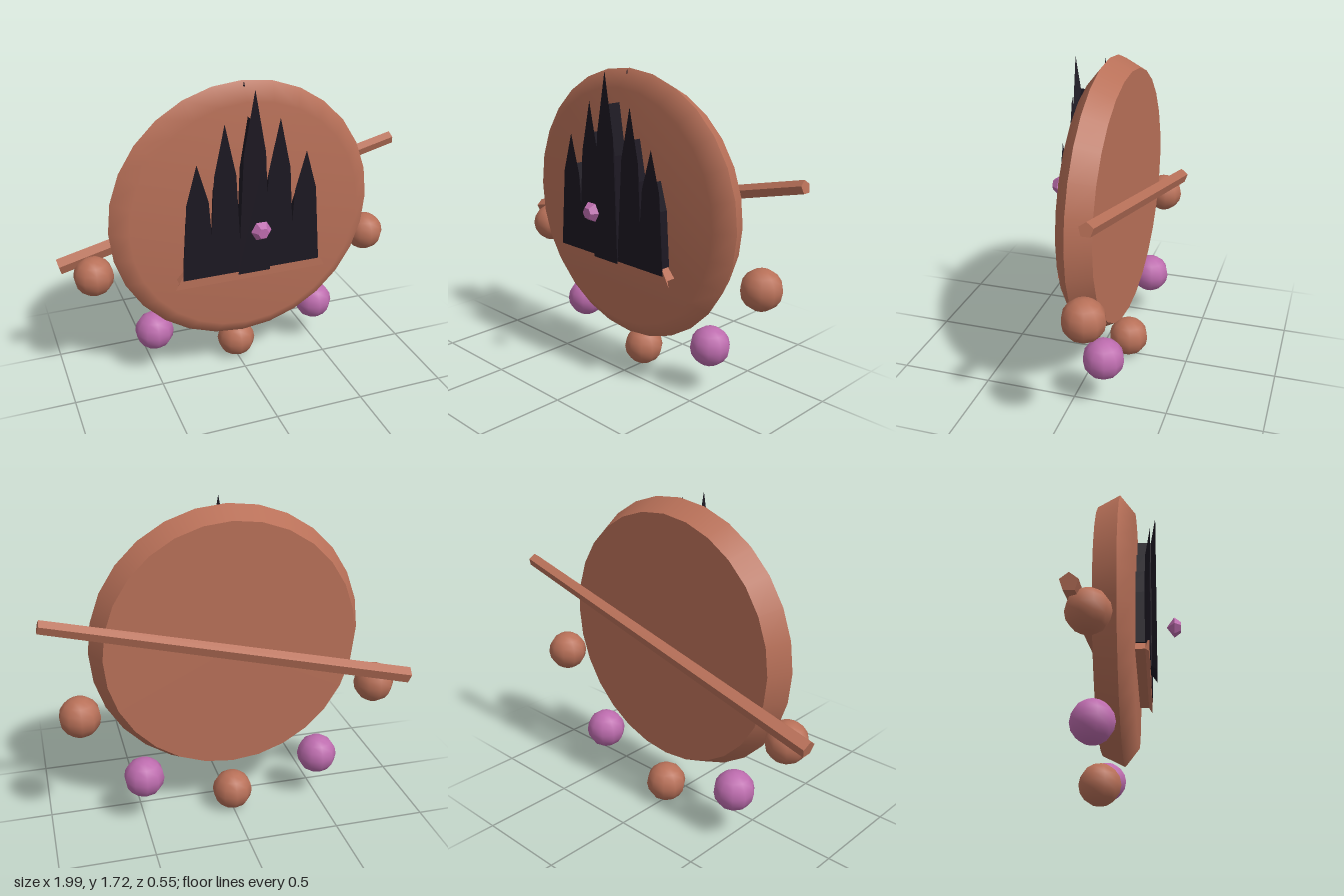
import * as THREE from 'three';

const mat = (color, flat = true) =>
  new THREE.MeshStandardMaterial({ color, flatShading: flat });
const clay = mat(0xb87058);
const claySmooth = mat(0xb87058, false);
const dark = mat(0x1c1822);
const pink = mat(0xbd6cae);
const pinkSmooth = mat(0xbd6cae, false);

// Flat plate whose front and back rims flare out past a slimmer body
function flaredPlate(points, zBack, zFront, rim, adjust) {
  const shape = new THREE.Shape(points.map(([x, y]) => new THREE.Vector2(x, y)));
  const g = new THREE.ExtrudeGeometry(shape, { depth: 3, steps: 3, bevelEnabled: false });
  const levels = [zBack, zBack + rim, zFront - rim, zFront];
  const p = g.attributes.position;
  for (let i = 0; i < p.count; i++) {
    const k = Math.round(p.getZ(i));
    if (k === 1 || k === 2) {
      const [x, y] = adjust(p.getX(i), p.getY(i));
      p.setXY(i, x, y);
    }
    p.setZ(i, levels[k]);
  }
  g.computeVertexNormals();
  return g;
}

export function createModel() {
  const root = new THREE.Group();
  const add = (name, geometry, material, x = 0, y = 0, z = 0, parent = root) => {
    const m = new THREE.Mesh(geometry, material);
    m.name = name;
    m.position.set(x, y, z);
    parent.add(m);
    return m;
  };
  // Lathe around the z axis; profile points are [radius, z]
  const latheZ = (profile, sides) =>
    new THREE.LatheGeometry(profile.map(([r, z]) => new THREE.Vector2(r, z)), sides)
      .rotateX(Math.PI / 2);

  // Medallion disc: smooth front, sharp ridge, tapered side, flat back
  const disc = new THREE.Group();
  disc.name = 'disc';
  root.add(disc);
  const discParts = {
    discFront: [[0.74, -0.04], [0.645, 0.035], [0, 0.035]],
    discSide: [[0.68, -0.16], [0.74, -0.04]],
    discBack: [[0, -0.16], [0.68, -0.16]],
  };
  for (const [name, profile] of Object.entries(discParts)) {
    add(name, latheZ(profile, 28), claySmooth, 0, 0.98, 0, disc);
  }

  // Castle towers: [x, height, back z, front z]
  const castle = new THREE.Group();
  castle.name = 'castle';
  root.add(castle);
  const towers = [
    [0, 1.01, -0.02, 0.14],
    [-0.15, 0.84, -0.05, 0.11], [0.15, 0.84, -0.05, 0.11],
    [-0.3, 0.645, -0.05, 0.11], [0.3, 0.645, -0.05, 0.11],
  ];
  for (const [x, h, zBack, zFront] of towers) {
    const outline = [[-0.09, 0], [0.09, 0], [0.06, h * 0.67], [0, h], [-0.06, h * 0.67]];
    const slim = (px, py) => [px * 0.74, 0.03 + py * (h - 0.2) / h];
    add('tower', flaredPlate(outline, zBack, zFront, 0.027, slim), dark, x, 0.71, 0, castle);
  }

  // Castle base
  const baseOutline = [[-0.43, 0.66], [0.43, 0.66], [0.36, 0.785], [-0.36, 0.785]];
  add('castleBase', flaredPlate(baseOutline, -0.05, 0.106, 0.02,
    (x, y) => [x * 0.94, y < 0.7 ? y + 0.025 : y - 0.025]), clay, 0, 0, 0, castle);

  // Faceted gem floating before the castle
  add('gem', latheZ([[0, -0.042], [0.056, 0], [0.03, 0.036], [0, 0.036]], 6)
    .rotateZ(Math.PI / 2), pink, 0, 1.0, 0.237);

  // Beads along the lower rim
  const bead = new THREE.SphereGeometry(0.11, 10, 8).rotateY(Math.PI / 2);
  add('bead', bead, claySmooth, 0, 0.115, -0.16);
  for (const s of [-1, 1]) {
    add('bead', bead, pinkSmooth, s * 0.495, 0.273, -0.16);
    add('bead', bead, claySmooth, s * 0.813, 0.685, -0.16);
  }

  // Tapered five-sided staff slanting behind the disc
  const tilt = Math.atan2(0.49, 1.97);
  add('staff', new THREE.CylinderGeometry(0.036, 0.045, 2.03, 5, 1, false, -Math.PI / 2)
    .rotateZ(tilt - Math.PI / 2), clay, 0, 0.985, -0.231);

  return root;
}
